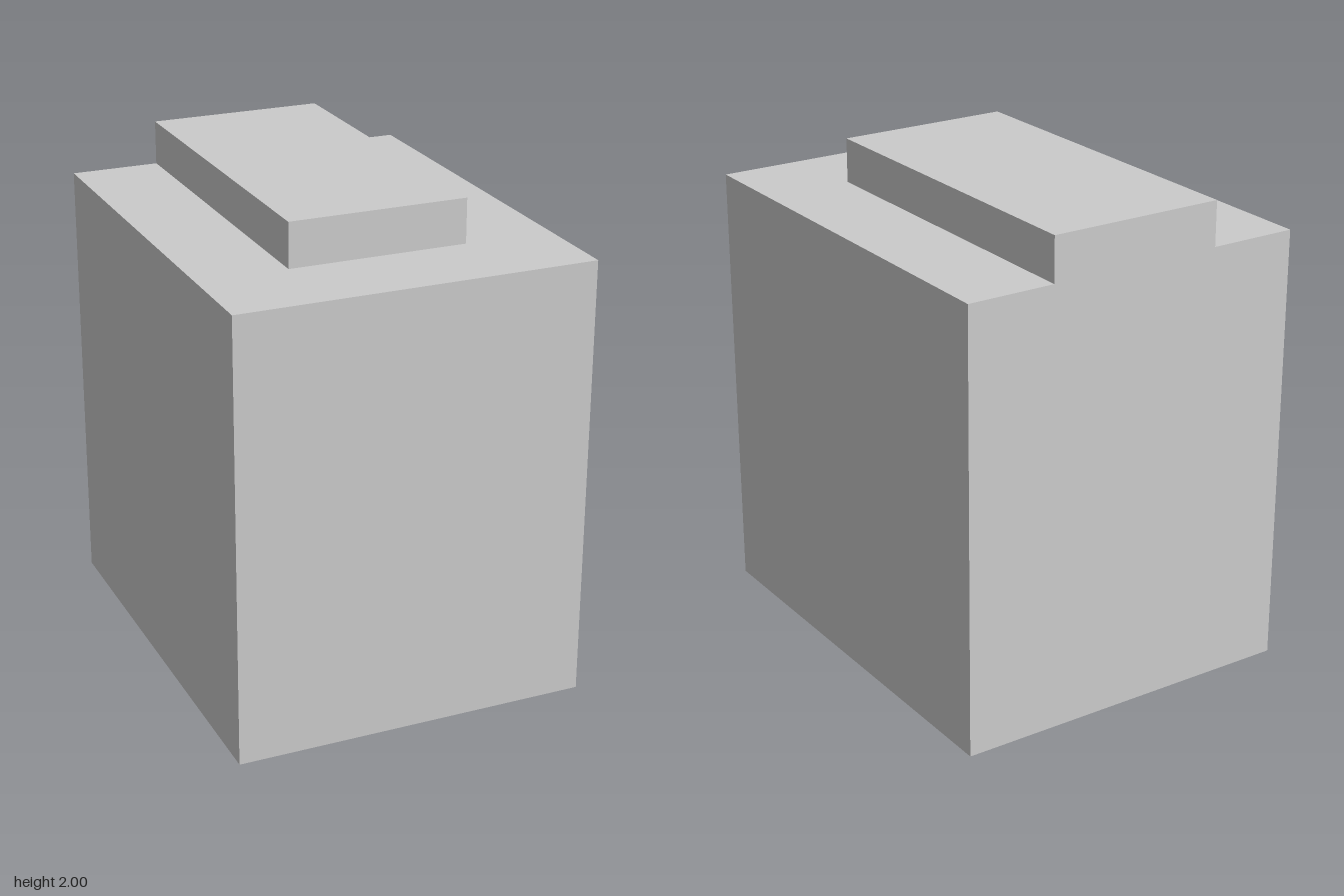
import * as THREE from 'three';

const U = 2 / 11; // the model is 11 units tall

export function createModel() {
  const group = new THREE.Group();
  group.name = 'block';
  const material = new THREE.MeshStandardMaterial({ color: 0xcccccc, flatShading: true });

  // Box sized in units, placed by its bottom height and back face
  const addBox = (name, w, h, d, bottom, back) => {
    const mesh = new THREE.Mesh(new THREE.BoxGeometry(w * U, h * U, d * U), material);
    mesh.name = name;
    mesh.position.set(0, (bottom + h / 2) * U, (back + d / 2) * U);
    group.add(mesh);
  };

  // Main body
  addBox('body', 8, 10, 10, 0, -5);
  // Raised slab on top, flush with the back
  addBox('topSlab', 4, 1, 8, 10, -5);

  return group;
}
